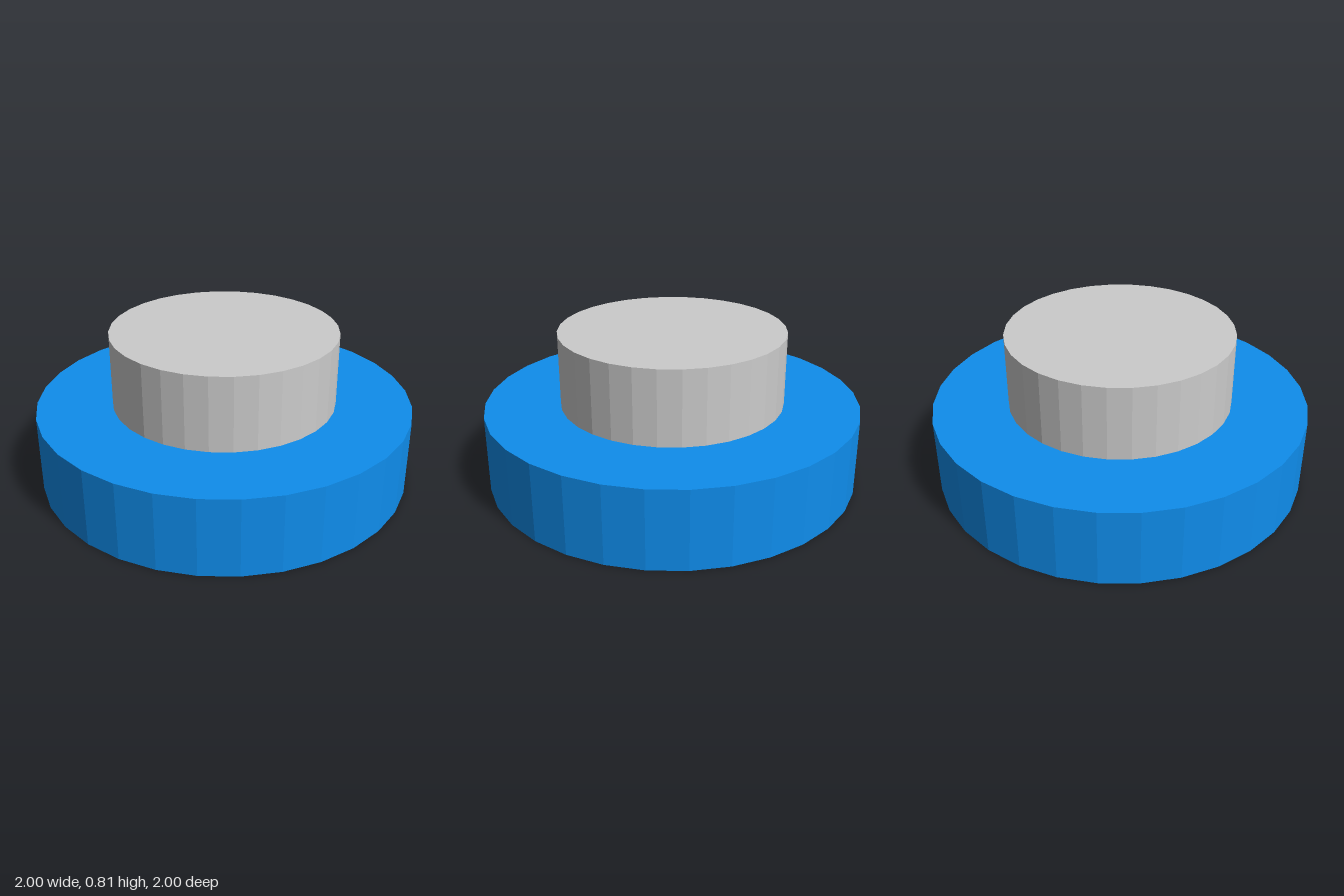
import * as THREE from 'three';

// Upright faceted disc standing on height y
function disc(name, radius, y, height, color) {
  const mesh = new THREE.Mesh(
    new THREE.CylinderGeometry(radius, radius, height, 32),
    new THREE.MeshStandardMaterial({ color, flatShading: true })
  );
  mesh.name = name;
  mesh.position.y = y + height / 2;
  return mesh;
}

export function createModel() {
  const group = new THREE.Group();
  group.name = 'steppedDisc';
  // Wide blue base with a narrower grey cap on top
  group.add(disc('base', 1, 0, 0.415, 0x0f8dec));
  group.add(disc('cap', 0.6, 0.415, 0.395, 0xcccccc));
  return group;
}
